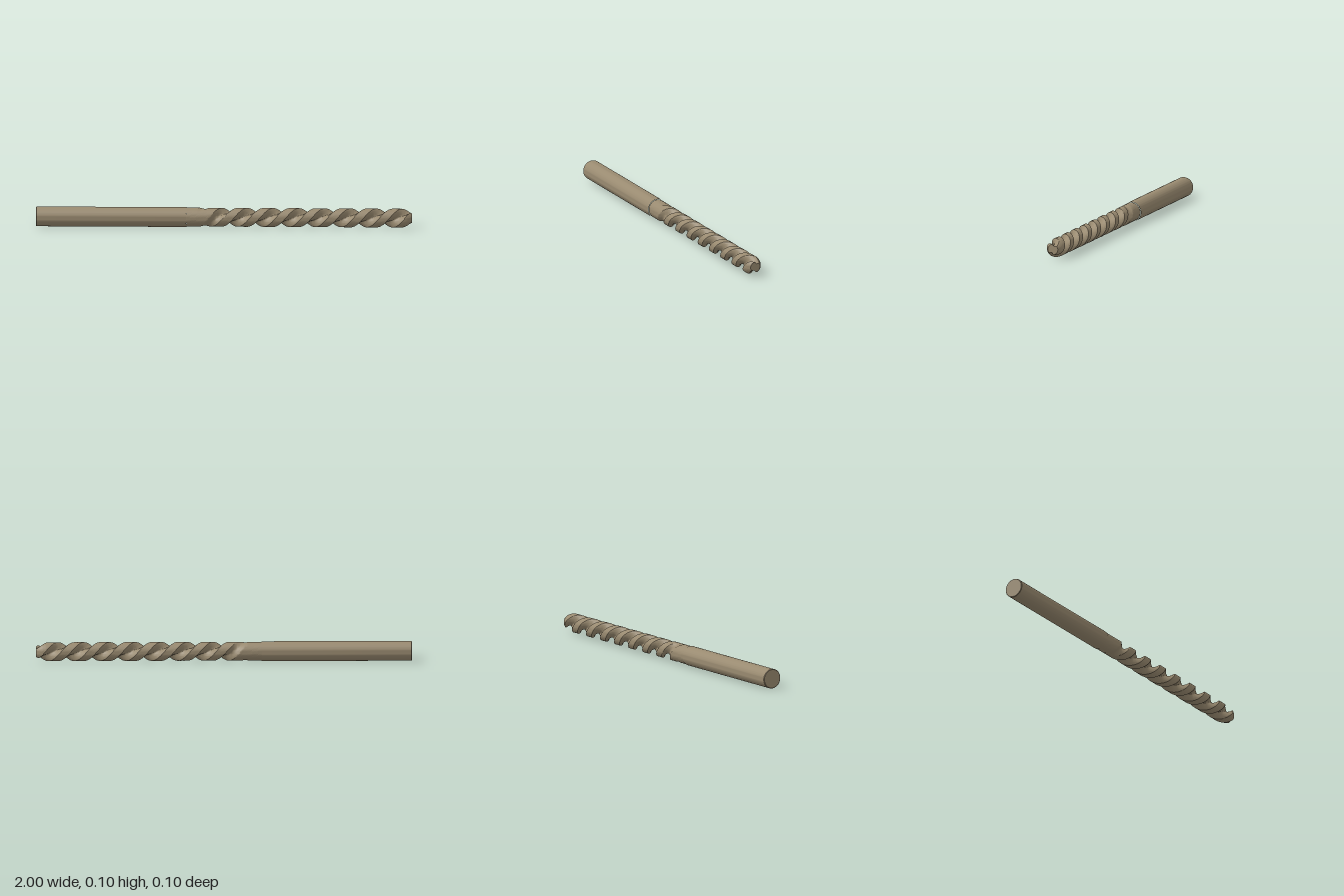
import * as THREE from 'three';
import { mergeVertices, toCreasedNormals } from 'three/addons/utils/BufferGeometryUtils.js';

const CENTRE_Y = 0.053, SHANK_R = 0.0525, FLUTE_R = 0.05, CORE_R = 0.019;
const START = -0.2, PITCH = 0.275, LAND = 0.64;

const { smoothstep, lerp } = THREE.MathUtils;

// Radius of the two-fluted section at angle a (0 = middle of a land) and position x
function sectionRadius(a, x) {
  const u = Math.acos(Math.min(1, Math.abs(Math.cos(a)))); // angle from nearest land
  const outer = lerp(SHANK_R, FLUTE_R, smoothstep(x, -0.04, 0.06));
  const depth = smoothstep(x, -0.17, 0.03); // flutes run out into the shank
  const s = Math.max(0, (u - LAND) / (Math.PI / 2 - LAND));
  const r = outer - (outer - CORE_R) * depth * Math.sin(s * Math.PI / 2);
  // blunt ground point
  const t = Math.max(0, (x - 0.945) / 0.055);
  return Math.min(r, FLUTE_R - 0.022 * t * t);
}

// Cylinder along x, twisted and cut by the section rule
function flutedGeometry() {
  const length = 1 - START;
  const geo = new THREE.CylinderGeometry(1, 1, length, 72, 150);
  geo.rotateZ(-Math.PI / 2);
  geo.translate(START + length / 2, 0, 0);
  geo.deleteAttribute('uv');
  geo.deleteAttribute('normal');
  const p = geo.attributes.position;
  for (let i = 0; i < p.count; i++) {
    const x = p.getX(i), y = p.getY(i), z = p.getZ(i);
    const a0 = Math.atan2(z, y);
    const r = Math.hypot(y, z) * sectionRadius(a0, x);
    const a = a0 - (x - 0.09) / PITCH * Math.PI * 2;
    p.setXYZ(i, x, r * Math.cos(a), r * Math.sin(a));
  }
  return toCreasedNormals(mergeVertices(geo, 1e-5), 0.6);
}

// Plain round shank with a tiny chamfer at the back end
function shankGeometry() {
  const profile = [[0, -1], [SHANK_R - 0.003, -1], [SHANK_R, -0.997], [SHANK_R, START]]
    .map(([r, x]) => new THREE.Vector2(r, x));
  const geo = new THREE.LatheGeometry(profile, 72);
  geo.rotateZ(-Math.PI / 2);
  return toCreasedNormals(geo, 0.6);
}

export function createModel() {
  const steel = new THREE.MeshStandardMaterial({ color: 0x998a70 });
  steel.name = 'warm steel';

  const group = new THREE.Group();
  group.name = 'drillBit';
  const add = (name, geo) => {
    const mesh = new THREE.Mesh(geo, steel);
    mesh.name = name;
    mesh.position.y = CENTRE_Y;
    group.add(mesh);
  };
  add('shank', shankGeometry());
  add('flutedBody', flutedGeometry());
  return group;
}
